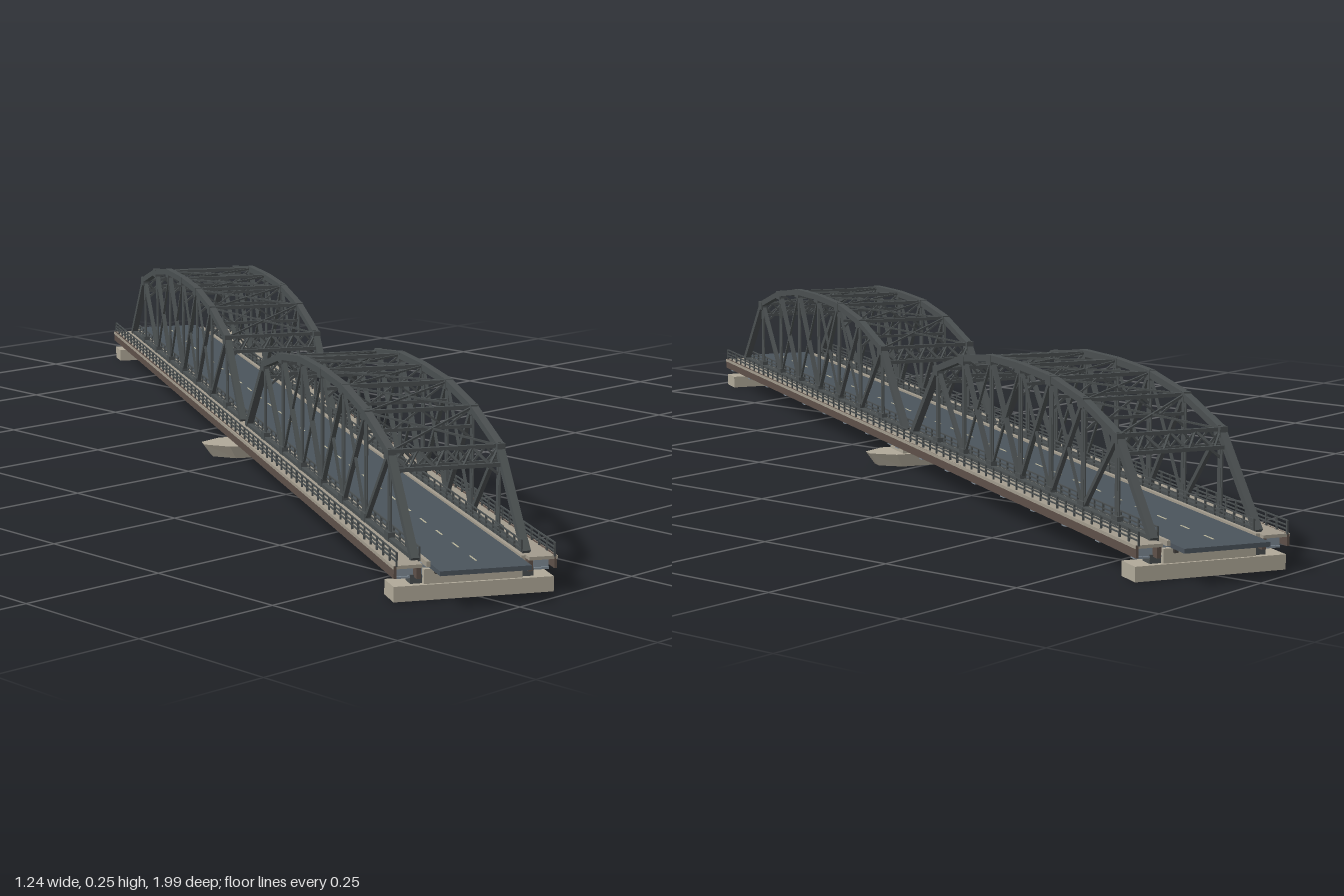
import * as THREE from 'three';

const mat = (color, opts = {}) => new THREE.MeshStandardMaterial({ color, ...opts });
const STEEL = mat(0x4a4f50), RUST = mat(0x5e5049), ROAD = mat(0x4b545c), WALK = mat(0xa29b8d);
const STONE = mat(0xb0a999), BEAM = mat(0x7f8b96), LINE = mat(0xb8b49a), DARK = mat(0x45423f);
const UNIT = new THREE.BoxGeometry(1, 1, 1);

// The bridge runs along local x; z is across the deck.
const PANEL = 0.1263, TRUSS_Z = 0.085, CHORD_Y = 0.056;
const TOP_Y = [CHORD_Y, 0.19, 0.225, 0.242, 0.245, 0.242, 0.225, 0.19, CHORD_Y];
const SPAN_STARTS = [-1.03, 0.02];

function box(parent, name, material, x, y, z, sx, sy, sz) {
  const m = new THREE.Mesh(UNIT, material);
  m.name = name;
  m.position.set(x, y, z);
  m.scale.set(sx, sy, sz);
  parent.add(m);
  return m;
}

// Straight member between two points: w across, h deep
function bar(parent, name, a, b, w, h = w, material = STEEL) {
  const p = new THREE.Vector3(...a), q = new THREE.Vector3(...b);
  const mid = p.clone().add(q).multiplyScalar(0.5);
  const m = box(parent, name, material, mid.x, mid.y, mid.z, w, h, p.distanceTo(q));
  m.lookAt(q);
  return m;
}

function group(parent, name) {
  const g = new THREE.Group();
  g.name = name;
  parent.add(g);
  return g;
}

// One side truss: curved top chord, posts and diagonals
function sideTruss(parent, x0, z) {
  const g = group(parent, 'sideTruss');
  const top = i => [x0 + i * PANEL, TOP_Y[i], z];
  const low = i => [x0 + i * PANEL, CHORD_Y, z];
  bar(g, 'bottomChord', low(0), low(8), 0.009, 0.011);
  for (let i = 0; i < 8; i++) bar(g, i % 7 ? 'topChord' : 'endPost', top(i), top(i + 1), 0.012, 0.011);
  for (let i = 1; i < 8; i++) {
    // paired flanges joined by a thin web
    for (const s of [-1, 1]) {
      bar(g, 'postFlange', [low(i)[0] + s * 0.0035, CHORD_Y, z], [low(i)[0] + s * 0.0035, TOP_Y[i], z], 0.009, 0.002);
    }
    box(g, 'postWeb', STEEL, low(i)[0], (CHORD_Y + TOP_Y[i]) / 2, z, 0.006, TOP_Y[i] - CHORD_Y, 0.003);
    box(g, 'topGusset', STEEL, low(i)[0], TOP_Y[i] - 0.003, z, 0.022, 0.016, 0.013);
    box(g, 'bottomGusset', STEEL, low(i)[0], CHORD_Y + 0.004, z, 0.022, 0.018, 0.011);
  }
  for (let i = 1; i < 4; i++) {
    bar(g, 'diagonal', top(i), low(i + 1), 0.007, 0.007);
    bar(g, 'diagonal', top(8 - i), low(7 - i), 0.007, 0.007);
  }
  // light counters in the middle panels
  for (const i of [2, 3]) {
    bar(g, 'counter', low(i), top(i + 1), 0.004);
    bar(g, 'counter', low(8 - i), top(7 - i), 0.004);
  }
}

// Cross struts, portal lattices and lateral bracing joining the two trusses
function overheadBracing(parent, x0) {
  const g = group(parent, 'overheadBracing');
  for (let i = 1; i < 8; i++) {
    const x = x0 + i * PANEL, y = TOP_Y[i], portal = i === 1 || i === 7;
    const depth = portal ? 0.024 : 0.03;
    bar(g, 'topStrut', [x, y, -TRUSS_Z], [x, y, TRUSS_Z], 0.007, 0.006);
    bar(g, 'swayStrut', [x, y - depth, -TRUSS_Z], [x, y - depth, TRUSS_Z], 0.005, 0.005);
    const n = portal ? 8 : 4, step = 2 * TRUSS_Z / n;
    for (let k = 0; k < n; k++) {
      const za = -TRUSS_Z + k * step, zb = za + step, flip = k % 2;
      bar(g, 'swayLattice', [x, y - (flip ? depth : 0), za], [x, y - (flip ? 0 : depth), zb], 0.003);
      if (portal) bar(g, 'portalLattice', [x, y - (flip ? 0 : depth), za], [x, y - (flip ? depth : 0), zb], 0.003);
    }
    if (portal) {
      // second portal strut further down the sloping end post, with knee braces
      const out = i === 1 ? -1 : 1, px = x + out * 0.022;
      bar(g, 'portalStrut', [px, y - 0.024, -TRUSS_Z], [px, y - 0.024, TRUSS_Z], 0.006);
      for (let k = 0; k < 8; k++) {
        const za = -TRUSS_Z + k * step;
        bar(g, 'portalLattice', [k % 2 ? px : x, k % 2 ? y - 0.024 : y, za],
          [k % 2 ? x : px, k % 2 ? y : y - 0.024, za + step], 0.003);
      }
    }
    for (const s of [-1, 1]) {
      bar(g, 'kneeBrace', [x, y - depth - 0.02, s * TRUSS_Z], [x, y - depth, s * (TRUSS_Z - 0.025)], 0.004);
      if (i < 7) bar(g, 'lateralBrace', [x, y, s * TRUSS_Z], [x + PANEL, TOP_Y[i + 1], -s * TRUSS_Z], 0.003);
    }
  }
}

function railing(parent, z, y0, length, name) {
  const g = group(parent, name);
  for (const dy of [0.007, 0.013, 0.02]) box(g, 'rail', STEEL, 0, y0 + dy, z, length, 0.002, 0.002);
  const n = 64;
  for (let i = 0; i <= n; i++) {
    box(g, 'railPost', STEEL, (i / n - 0.5) * length, y0 + 0.01, z, 0.0028, 0.021, 0.0028);
  }
}

function deck(parent) {
  const g = group(parent, 'deck');
  box(g, 'roadway', ROAD, 0, 0.052, 0, 2.2, 0.007, 0.138);
  for (let i = -13; i <= 13; i++) box(g, 'laneMark', LINE, i * 0.08, 0.0558, 0, 0.03, 0.0008, 0.0025);
  for (const s of [-1, 1]) {
    box(g, 'kerb', WALK, 0, 0.055, s * 0.072, 2.11, 0.008, 0.006);
    box(g, 'sidewalk', WALK, 0, 0.053, s * 0.103, 2.11, 0.005, 0.044);
    box(g, 'fascia', RUST, 0, 0.046, s * 0.122, 2.11, 0.019, 0.004);
    box(g, 'edgeGirder', RUST, 0, 0.043, s * TRUSS_Z, 2.1, 0.02, 0.007);
    railing(g, s * 0.12, 0.055, 2.11, 'outerRailing');
    railing(g, s * 0.078, 0.055, 2.06, 'innerRailing');
  }
  // floor framing below the slab
  for (let k = -3; k <= 3; k++) box(g, 'stringer', DARK, 0, 0.045, k * 0.019, 2.1, 0.013, 0.006);
  for (const x0 of SPAN_STARTS) {
    for (let i = 0; i <= 8; i++) {
      const x = x0 + i * PANEL;
      box(g, 'floorBeam', BEAM, x, 0.042, 0, 0.009, 0.02, 0.236);
      box(g, 'floorBeamFlange', BEAM, x, 0.033, 0, 0.015, 0.003, 0.236);
      if (i < 8) for (const s of [-1, 1]) {
        bar(g, 'floorBrace', [x, 0.036, s * TRUSS_Z], [x + PANEL, 0.036, -s * TRUSS_Z], 0.003, 0.003, DARK);
      }
    }
  }
}

function supports(parent) {
  const g = group(parent, 'supports');
  // pointed centre pier, narrowing slightly toward the base
  const plan = [[-0.042, -0.125], [-0.012, -0.165], [0.012, -0.165], [0.042, -0.125],
    [0.042, 0.125], [0.012, 0.165], [-0.012, 0.165], [-0.042, 0.125]];
  const shape = new THREE.Shape(plan.map(p => new THREE.Vector2(p[0], p[1])));
  const geo = new THREE.ExtrudeGeometry(shape, { depth: 0.023, bevelEnabled: false });
  geo.rotateX(-Math.PI / 2);
  const pos = geo.attributes.position;
  for (let i = 0; i < pos.count; i++) {
    if (pos.getY(i) < 0.01) pos.setXYZ(i, pos.getX(i) * 0.88, 0, pos.getZ(i) * 0.9);
  }
  geo.computeVertexNormals();
  const pier = new THREE.Mesh(geo, STONE);
  pier.name = 'centrePier';
  g.add(pier);
  box(g, 'pierCap', STONE, 0, 0.026, 0, 0.066, 0.008, 0.22);
  for (const e of [-1, 1]) {
    box(g, 'abutment', STONE, e * 1.025, 0.0115, 0, 0.047, 0.023, 0.244);
    box(g, 'abutmentSeat', STONE, e * 1.03, 0.033, 0, 0.028, 0.024, 0.15);
    for (const s of [-1, 1]) {
      box(g, 'endBearing', STEEL, e * 1.026, 0.029, s * TRUSS_Z, 0.024, 0.014, 0.018);
      box(g, 'pierBearing', STEEL, e * 0.02, 0.032, s * TRUSS_Z, 0.022, 0.01, 0.018);
    }
  }
}

export function createModel() {
  const model = new THREE.Group();
  model.name = 'trussBridge';
  const bridge = group(model, 'bridge');
  supports(bridge);
  deck(bridge);
  for (const x0 of SPAN_STARTS) {
    const span = group(bridge, 'span');
    for (const s of [-1, 1]) sideTruss(span, x0, s * TRUSS_Z);
    overheadBracing(span, x0);
  }
  // the bridge stands diagonally to the axes
  bridge.rotation.y = THREE.MathUtils.degToRad(61.1);
  return model;
}
